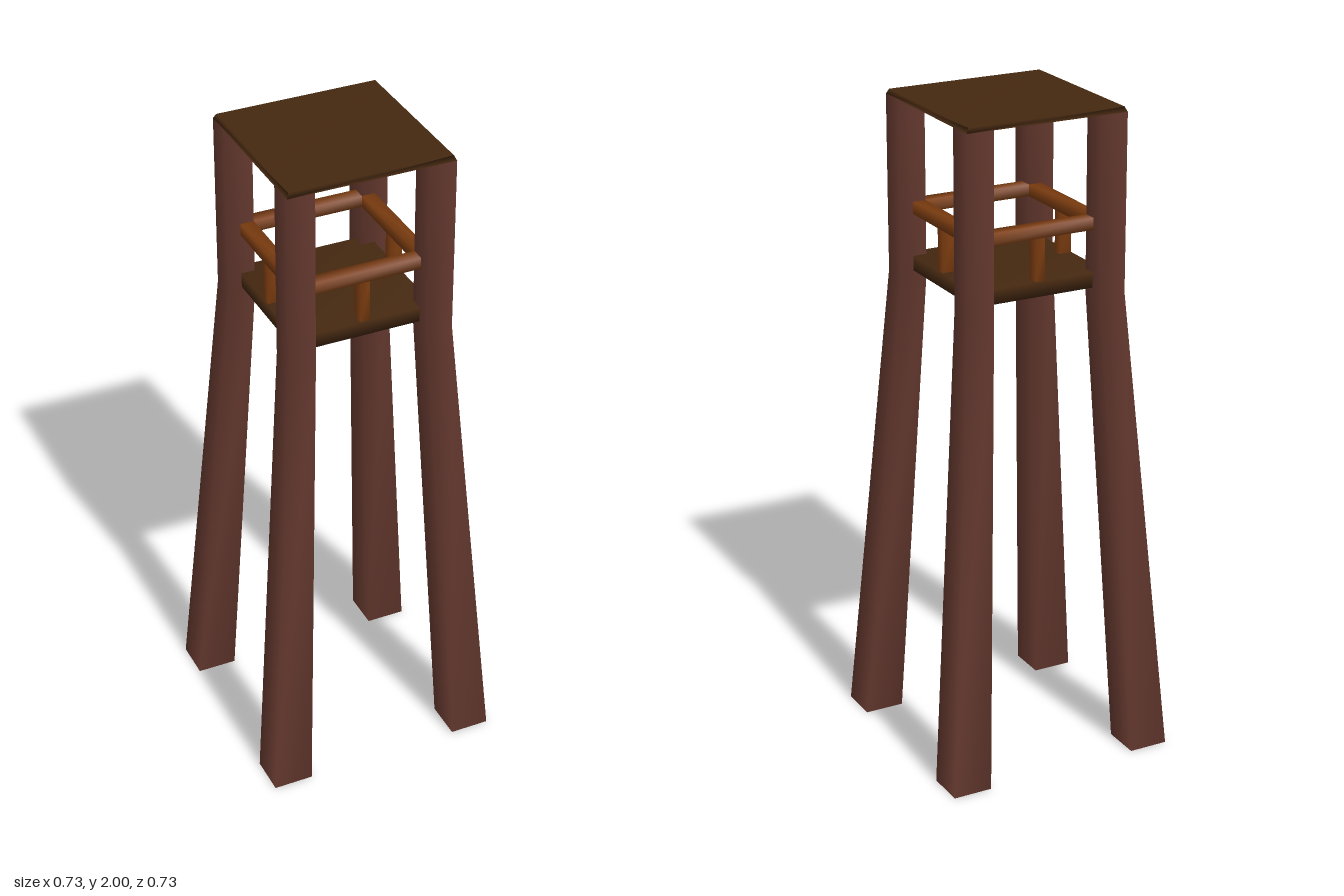
import * as THREE from 'three';
import { mergeVertices } from 'three/addons/utils/BufferGeometryUtils.js';

const mat = (name, color) => new THREE.MeshStandardMaterial({ name, color });

// Box with shared corners, so its normals blend softly; rule(x, y, z) may reshape the rows
function softBox(w, h, d, rows = 1, rule = null) {
  let geo = new THREE.BoxGeometry(w, h, d, 1, rows, 1);
  geo.deleteAttribute('normal');
  geo.deleteAttribute('uv');
  geo = mergeVertices(geo);
  if (rule) {
    const p = geo.attributes.position;
    for (let i = 0; i < p.count; i++) p.setXYZ(i, ...rule(p.getX(i), p.getY(i), p.getZ(i)));
  }
  geo.computeVertexNormals();
  return geo;
}

export function createModel() {
  const postWood = mat('red brown post wood', 0x65392f);
  const deckWood = mat('dark brown deck wood', 0x452810);
  const railWood = mat('orange brown rail wood', 0x7d3d10);
  const model = new THREE.Group();
  model.name = 'watchtower';

  const add = (parent, name, geo, material, x = 0, y = 0, z = 0) => {
    const mesh = new THREE.Mesh(geo, material);
    mesh.name = name;
    mesh.position.set(x, y, z);
    parent.add(mesh);
    return mesh;
  };

  // Four legs: splayed up to the deck, upright above it; each row is [y, inner, outer]
  const rows = [[0, 0.243, 0.365], [1.45, 0.172, 0.255], [1.985, 0.172, 0.255]];
  for (const sx of [1, -1]) for (const sz of [1, -1]) {
    const leg = softBox(1, 2, 1, 2, (x, y, z) => {
      const [h, inner, outer] = rows[Math.round(y + 1)];
      const at = (v, s) => s * (v * s > 0 ? outer : inner);
      return [at(x, sx), h, at(z, sz)];
    });
    add(model, `${sz > 0 ? 'front' : 'back'}${sx > 0 ? 'Left' : 'Right'}Leg`, leg, postWood);
  }

  // Thin roof with a bevelled rim, lined underneath with post wood
  const roof = softBox(0.51, 0.015, 0.51, 1, (x, y, z) => {
    const k = y > 0 ? 0.972 : 1;
    return [x * k, y, z * k];
  });
  add(model, 'roof', roof, [deckWood, deckWood, deckWood, postWood, deckWood, deckWood], 0, 1.9925, 0);

  // Deck floor
  add(model, 'deck', softBox(0.428, 0.045, 0.428), deckWood, 0, 1.4875, 0);

  // One railing per side: a top bar and a middle post
  for (let i = 0; i < 4; i++) {
    const railing = new THREE.Group();
    railing.name = ['front', 'left', 'back', 'right'][i] + 'Railing';
    railing.rotation.y = i * Math.PI / 2;
    add(railing, 'handrail', softBox(0.428, 0.036, 0.042), railWood, 0, 1.657, 0.193);
    add(railing, 'railPost', softBox(0.03, 0.14, 0.038), railWood, 0, 1.575, 0.193);
    model.add(railing);
  }
  return model;
}
